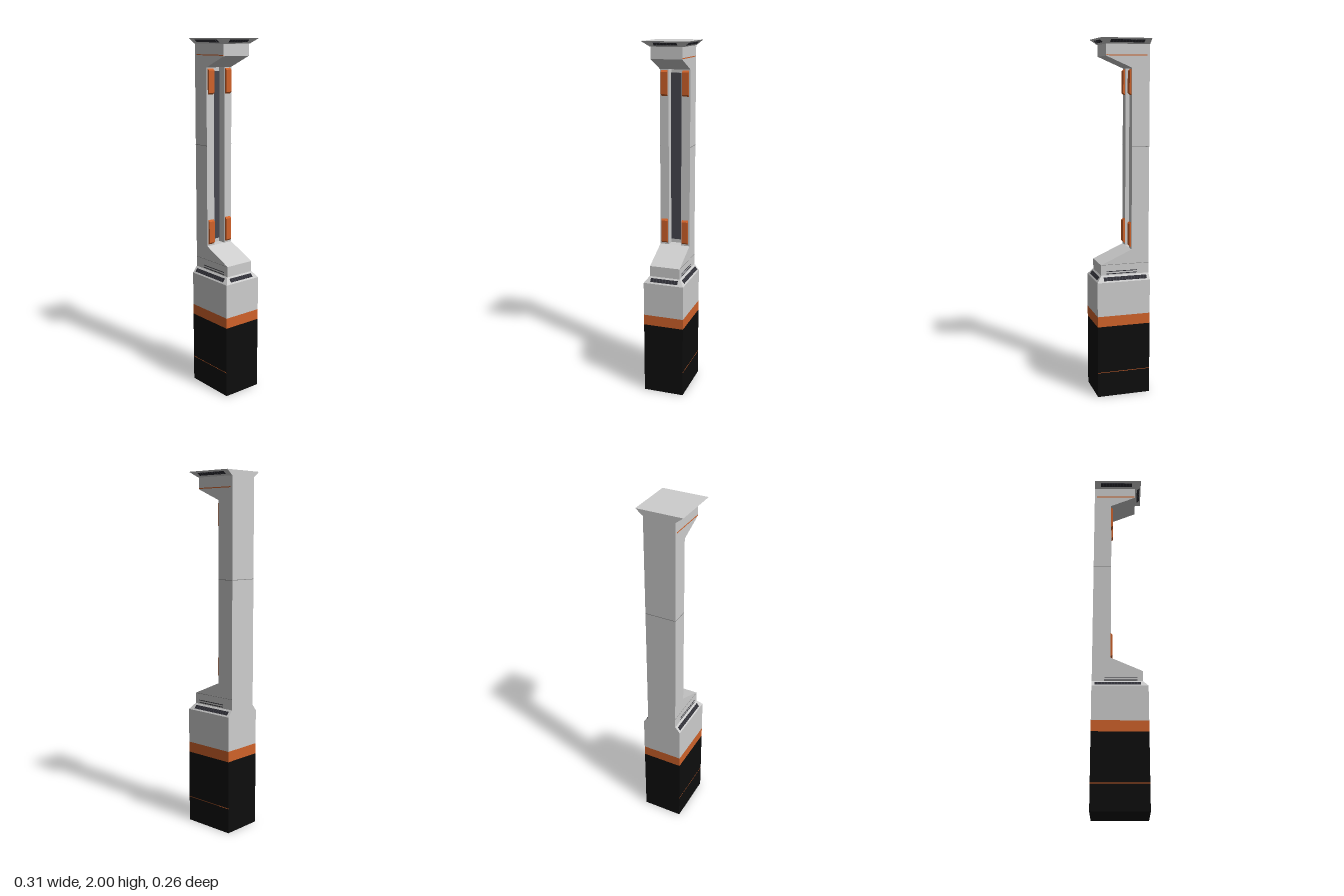
import * as THREE from 'three';

const mat = (name, color) => new THREE.MeshStandardMaterial({ name, color });

export function createModel() {
  const root = new THREE.Group();
  root.name = 'pillar';
  const shell = mat('light grey shell', 0xcdcdcd);
  const orange = mat('orange trim', 0xd0622a);
  const black = mat('black plinth', 0x0d0d0d);
  const slate = mat('slate panel', 0x474750);
  const dark = mat('dark vent', 0x2c2c33);
  const seam = mat('seam grey', 0x858585);

  const add = (name, geo, material, parent = root) => {
    const m = new THREE.Mesh(geo, material);
    m.name = name;
    parent.add(m);
    return m;
  };
  // Box given by its limits on each axis
  const box = (name, x0, x1, y0, y1, z0, z1, material) => {
    const m = add(name, new THREE.BoxGeometry(x1 - x0, y1 - y0, z1 - z0), material);
    m.position.set((x0 + x1) / 2, (y0 + y1) / 2, (z0 + z1) / 2);
    return m;
  };
  // Side profile in x and y, extruded between two z values
  const slab = (name, pts, z0, z1, material) => {
    const shape = new THREE.Shape(pts.map(p => new THREE.Vector2(...p)));
    const geo = new THREE.ExtrudeGeometry(shape, { depth: z1 - z0, bevelEnabled: false });
    geo.translate(0, 0, z0);
    return add(name, geo, material);
  };
  // Box whose upper face takes other limits than its lower face
  const taper = (name, y0, y1, [ax, bx, hz], [ax1, bx1, hz1], material) => {
    const geo = new THREE.BoxGeometry(1, 1, 1).toNonIndexed();
    const p = geo.attributes.position;
    for (let i = 0; i < p.count; i++) {
      const up = p.getY(i) > 0, right = p.getX(i) > 0, s = Math.sign(p.getZ(i));
      p.setXYZ(i, up ? (right ? bx1 : ax1) : (right ? bx : ax), up ? y1 : y0, s * (up ? hz1 : hz));
    }
    geo.computeVertexNormals();
    return add(name, geo, material);
  };
  // Thin framed grille lying on a face with the given outward normal
  const vent = (name, centre, normal, width, height) => {
    const g = new THREE.Group();
    g.name = name;
    const n = new THREE.Vector3(...normal).normalize();
    const u = new THREE.Vector3(0, 1, 0).cross(n).normalize();
    const v = n.clone().cross(u);
    g.quaternion.setFromRotationMatrix(new THREE.Matrix4().makeBasis(u, v, n));
    g.position.set(...centre);
    add('ventOpening', new THREE.BoxGeometry(width, height, 0.002), dark, g);
    const count = Math.round(width / 0.018);
    for (let i = 1; i < count; i++) {
      const bar = add('ventBar', new THREE.BoxGeometry(0.003, height * 0.85, 0.003), slate, g);
      bar.position.x = -width / 2 + (i * width) / count;
    }
    root.add(g);
  };

  // Plinth, with its painted band and upper block
  const X = 0.153, Z = 0.117;
  box('plinth', -X, X, 0, 0.415, -Z, Z, black);
  box('plinthBand', -X, X, 0.415, 0.475, -Z, Z, orange);
  box('plinthTop', -X, X, 0.475, 0.67, -Z, Z, shell);
  taper('plinthShoulder', 0.67, 0.705, [-X, X, Z], [-X, 0.125, 0.09], shell);
  for (const s of [-1, 1]) {
    const strip = box('plinthLine', -X, X, 0.142, 0.145, -0.0005, 0.0005, orange);
    strip.position.z = s * Z;
  }

  // C-shaped body: two outer cheeks and a recessed middle
  const W = 0.088, C = 0.037, inner = -0.053, floor = -0.1;
  const profile = x => [
    [-X, 0.7], [0.125, 0.7], [0.125, 0.765], [inner, 0.845], [x, 0.845],
    [x, 1.845], [inner, 1.845], [0.092, 1.907], [0.092, 1.975], [-X, 1.975],
  ];
  slab('bodyCheek', profile(inner), C, W, shell);
  slab('bodyCheek', profile(inner), -W, -C, shell);
  slab('bodyMiddle', profile(floor), -C, C, shell);
  box('channelPanel', floor, floor + 0.004, 0.867, 1.823, -C, C, slate);

  // Flared cap
  taper('cap', 1.97, 2, [-X, 0.095, 0.09], [-X, 0.128, 0.129], shell);

  // Orange pads at both ends of the channel
  for (const z of [-0.061, 0.061]) {
    for (const [y0, y1] of [[0.855, 0.998], [1.7, 1.84]]) {
      slab('pad', [[inner, y0], [inner + 0.011, y0 + 0.01], [inner + 0.011, y1 - 0.01], [inner, y1]],
        z - 0.0185, z + 0.0185, orange);
    }
  }

  // Grilles and thin lines on both sides
  for (const s of [-1, 1]) {
    vent('shoulderVent', [-0.012, 0.687, s * 0.104], [0, 0.027, s * 0.035], 0.25, 0.023);
    vent('capVent', [-0.022, 1.985, s * 0.1095], [0, -0.039, s * 0.03], 0.19, 0.022);
    for (const y of [0.713, 0.726]) {
      box('lowerSlot', -0.085, 0.095, y - 0.002, y + 0.002, s * W - 0.001, s * W + 0.001, dark);
    }
    box('lowerSeam', -X, 0.122, 0.764, 0.766, s * W - 0.0005, s * W + 0.0005, seam);
    box('upperLine', -0.14, 0.09, 1.909, 1.914, s * W - 0.0008, s * W + 0.0008, orange);
    box('columnSeam', -X, inner, 1.419, 1.422, s * W - 0.0005, s * W + 0.0005, seam);
  }
  box('columnSeam', -X - 0.0004, -X + 0.0004, 1.419, 1.422, -W, W, seam);
  vent('shoulderVent', [0.139, 0.687, 0], [0.035, 0.028, 0], 0.16, 0.023);
  vent('capVent', [0.1115, 1.985, 0], [0.03, -0.033, 0], 0.13, 0.02);

  return root;
}
